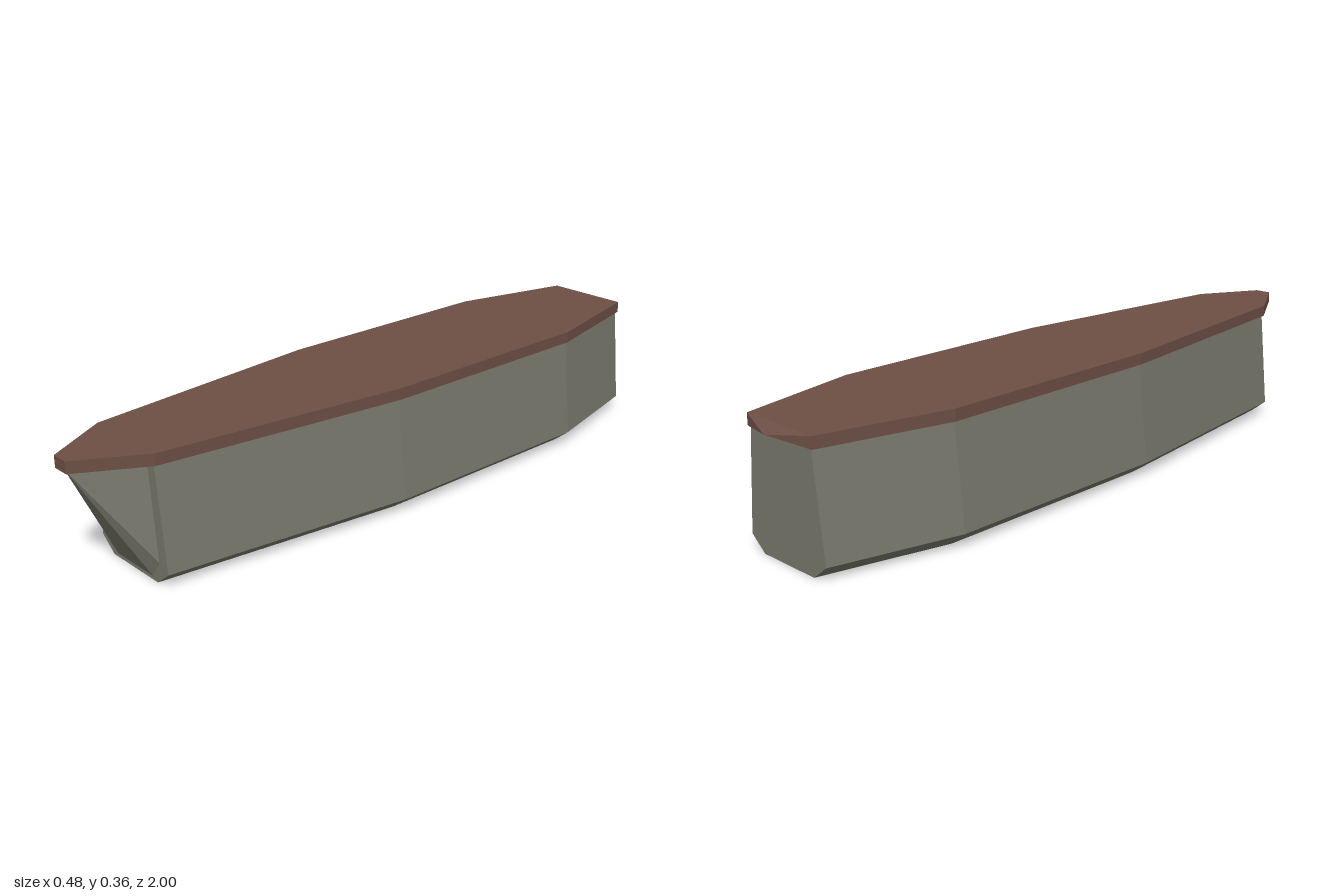
import * as THREE from 'three';

// Mirrors the right-hand half of a section into a counterclockwise ring at depth z
function ring(z, half) {
  const right = half.map(([x, y]) => new THREE.Vector3(x, y, z));
  const left = half.map(([x, y]) => new THREE.Vector3(-x, y, z)).reverse();
  return [...right, ...left];
}

// Joins rings from bow to stern with flat faces and closes both ends
function loft(rings) {
  const pos = [];
  const tri = (a, b, c) => {
    const area = new THREE.Triangle(a, b, c).getArea();
    if (area > 1e-8) for (const p of [a, b, c]) pos.push(p.x, p.y, p.z);
  };
  const n = rings[0].length;
  for (let i = 0; i < rings.length - 1; i++) {
    const f = rings[i], r = rings[i + 1];
    for (let j = 0; j < n; j++) {
      const k = (j + 1) % n;
      tri(f[j], r[j], r[k]);
      tri(f[j], r[k], f[k]);
    }
  }
  const first = rings[0], last = rings[rings.length - 1];
  for (let j = 1; j < n - 1; j++) {
    tri(first[0], first[j], first[j + 1]);
    tri(last[0], last[j + 1], last[j]);
  }
  const geo = new THREE.BufferGeometry();
  geo.setAttribute('position', new THREE.Float32BufferAttribute(pos, 3));
  geo.computeVertexNormals();
  return geo;
}

export function createModel() {
  const group = new THREE.Group();
  const hullGrey = new THREE.MeshStandardMaterial({ color: 0x78786c, flatShading: true });
  hullGrey.name = 'hullGrey';
  const deckBrown = new THREE.MeshStandardMaterial({ color: 0x6d4f45, flatShading: true });
  deckBrown.name = 'deckBrown';

  const add = (name, rings, material) => {
    const mesh = new THREE.Mesh(loft(rings), material);
    mesh.name = name;
    group.add(mesh);
  };
  const low = 0.327, high = 0.36;

  // Hull: chined section, narrower at both ends
  const hullStations = [[0.82, 0.15], [0.1, 0.238], [-0.6, 0.238], [-0.957, 0.15]];
  add('hull', hullStations.map(([z, w]) =>
    ring(z, [[w - 0.05, 0], [w, 0.04], [w - 0.03, low]])), hullGrey);

  // Bow: faceted wedge rising to a point under the deck
  const apex = [0, low];
  add('bow', [
    ring(0.99, [apex, apex, apex]),
    ring(0.82, [[0.08, 0.01], [0.113, 0.06], [0.09, low]]),
  ], hullGrey);

  // Deck: flat slab with a blunt front and a pyramid point at the stern
  const deckStations = [[1, 0.025], [0.82, 0.128], [0.1, 0.213], [-0.6, 0.213], [-0.96, 0.128]];
  const deckRings = deckStations.map(([z, w]) => ring(z, [[w, low], [w, high]]));
  const tip = [0, (low + high) / 2];
  deckRings.push(ring(-1, [tip, tip]));
  add('deck', deckRings, deckBrown);

  return group;
}
